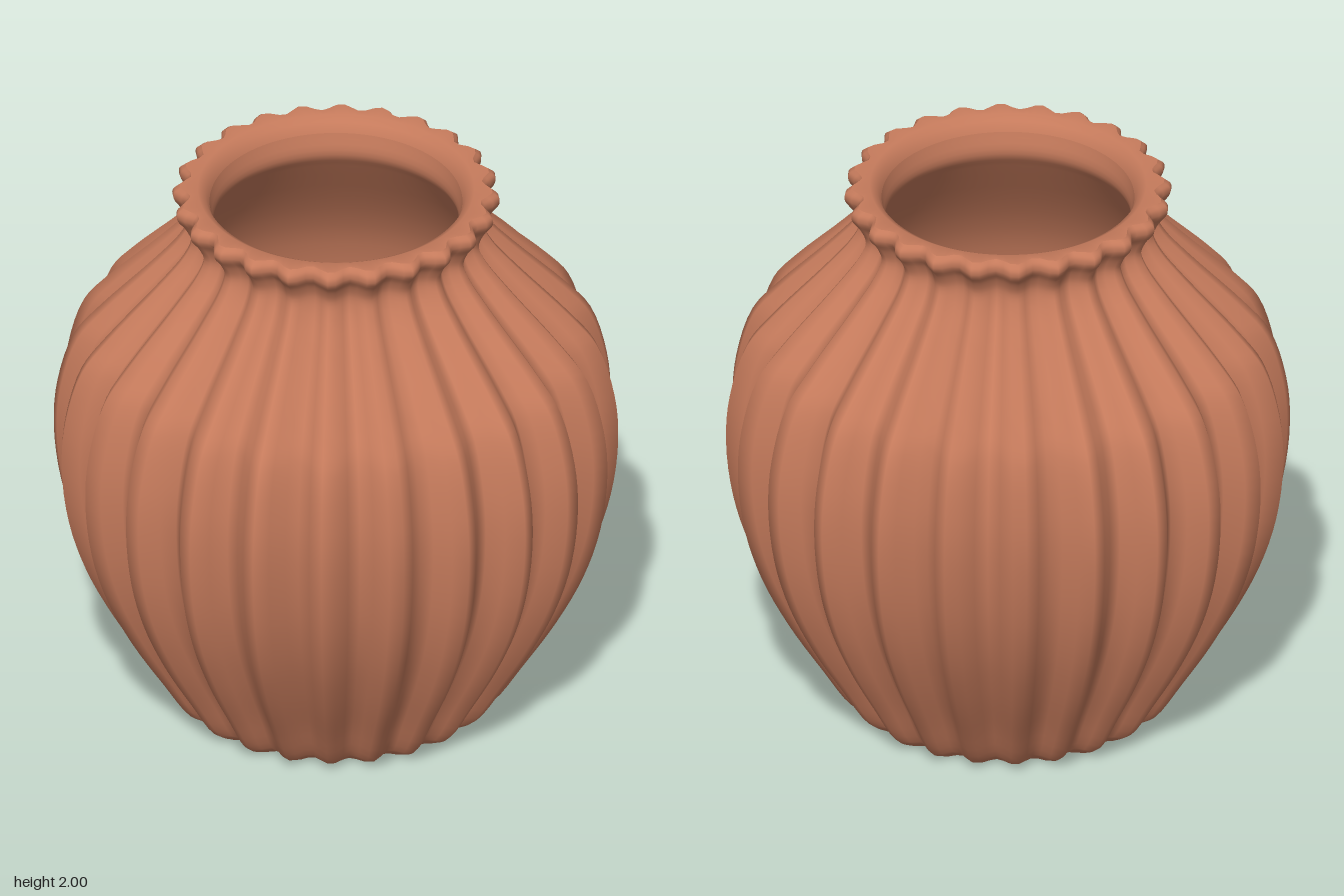
import * as THREE from 'three';
import { mergeVertices, toCreasedNormals } from 'three/addons/utils/BufferGeometryUtils.js';

const RIBS = 24;
const SEGMENTS = 128;

// Smooth curve through [radius, height, rib depth] points
function smooth(points, count) {
  const curve = new THREE.CatmullRomCurve3(points.map((p) => new THREE.Vector3(...p)), false, 'centripetal');
  return curve.getPoints(count);
}

// Revolve a profile and press the rib valleys in by each point's depth
function ribbedLathe(profile) {
  const geometry = new THREE.LatheGeometry(profile.map((p) => new THREE.Vector2(p.x, p.y)), SEGMENTS);
  const pos = geometry.attributes.position;
  for (let i = 0; i < pos.count; i++) {
    const angle = Math.floor(i / profile.length) / SEGMENTS * Math.PI * 2;
    const depth = profile[i % profile.length].z;
    const k = 1 - depth * (0.5 - 0.5 * Math.cos(RIBS * angle));
    pos.setX(i, pos.getX(i) * k);
    pos.setZ(i, pos.getZ(i) * k);
  }
  // Weld the seam so that the shading runs all the way round
  geometry.deleteAttribute('normal');
  geometry.deleteAttribute('uv');
  const welded = mergeVertices(geometry, 1e-5);
  welded.computeVertexNormals();
  return welded;
}

export function createModel() {
  const clay = new THREE.MeshStandardMaterial({ color: 0xc67b5c });
  const group = new THREE.Group();
  group.name = 'ribbedVase';

  // Ribbed outside: foot, belly, shoulder, neck and rolled rim
  const outside = smooth([
    [0.5, 0, 0.07], [0.56, 0.04, 0.09], [0.665, 0.2, 0.11], [0.785, 0.4, 0.115],
    [0.88, 0.6, 0.115], [0.94, 0.8, 0.115], [0.965, 1.02, 0.115], [0.952, 1.2, 0.115],
    [0.895, 1.39, 0.115], [0.81, 1.5, 0.115], [0.62, 1.7, 0.11], [0.535, 1.8, 0.1],
    [0.508, 1.86, 0.08], [0.525, 1.91, 0.08], [0.557, 1.955, 0.08], [0.557, 1.98, 0.08],
    [0.535, 2, 0.07],
  ], 64);
  const body = new THREE.Mesh(ribbedLathe(outside), clay);
  body.name = 'ribbedBody';

  // Flat underside
  const underside = [new THREE.Vector3(0, 0, 0), new THREE.Vector3(0.5, 0, 0.07)];
  const base = new THREE.Mesh(ribbedLathe(underside), clay);
  base.name = 'base';

  // Top of the rim, from the scalloped edge to the round mouth
  const lip = [[0.535, 2, 0.07], [0.47, 2, 0], [0.445, 1.985, 0], [0.43, 1.95, 0]]
    .map((p) => new THREE.Vector3(...p));
  const rim = new THREE.Mesh(toCreasedNormals(ribbedLathe(lip), 0.9), clay);
  rim.name = 'rim';

  // Smooth hollow inside
  const hollow = smooth([
    [0.43, 1.95, 0], [0.418, 1.87, 0], [0.46, 1.8, 0], [0.66, 1.5, 0], [0.75, 1.3, 0],
    [0.79, 1.02, 0], [0.74, 0.7, 0], [0.6, 0.3, 0], [0.44, 0.1, 0], [0.3, 0.08, 0], [0, 0.08, 0],
  ], 40);
  const inside = new THREE.Mesh(ribbedLathe(hollow), clay);
  inside.name = 'insideWall';

  group.add(body, base, rim, inside);
  return group;
}
